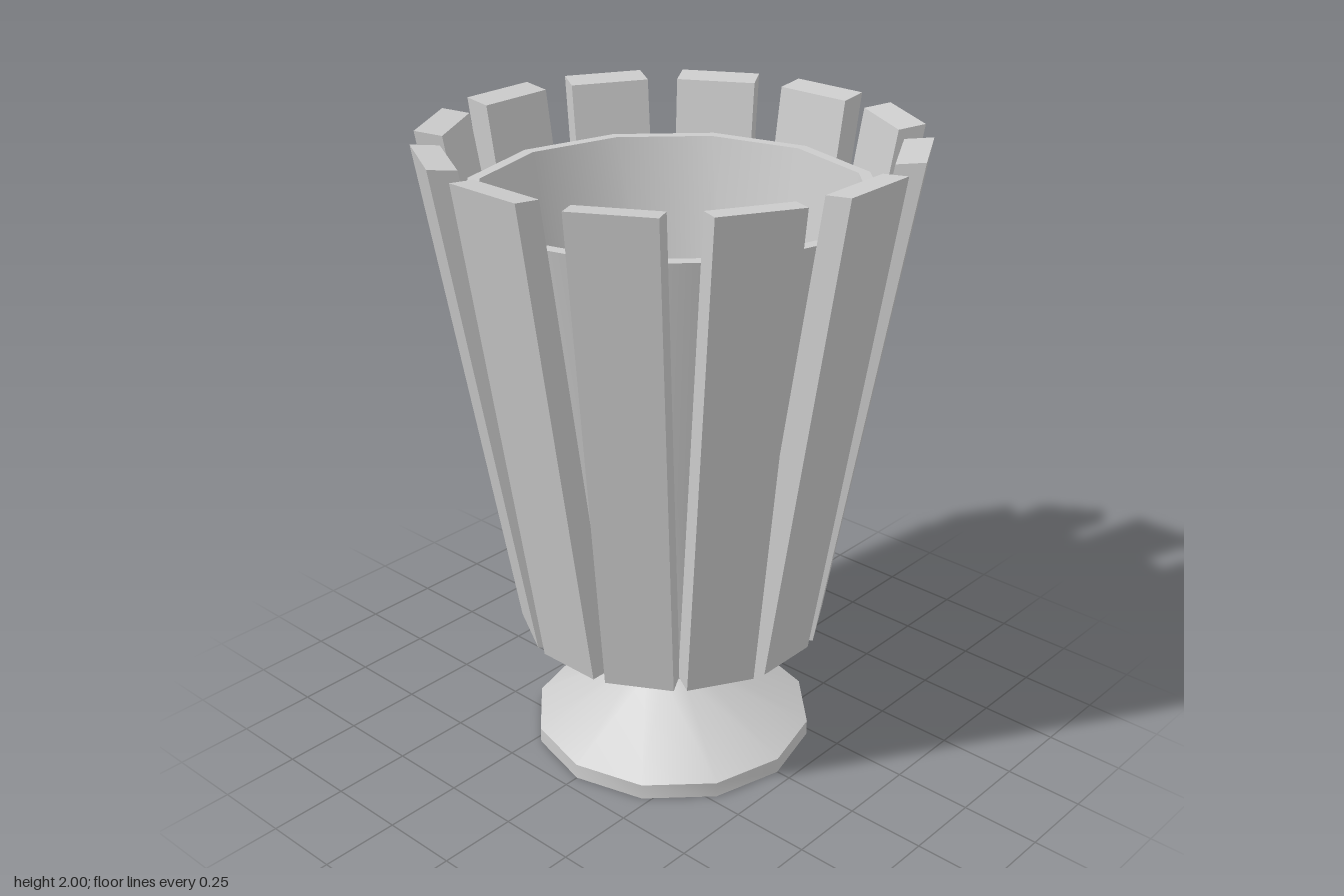
import * as THREE from 'three';
import { toCreasedNormals } from 'three/addons/utils/BufferGeometryUtils.js';

const SIDES = 12;
const material = new THREE.MeshStandardMaterial({ color: 0xcccccc });

// Twelve-sided turned part, smooth around and sharp along the profile
function turned(name, profile) {
  const points = profile.map(([r, y]) => new THREE.Vector2(r, y));
  const geometry = toCreasedNormals(new THREE.LatheGeometry(points, SIDES), 0.6);
  const mesh = new THREE.Mesh(geometry, material);
  mesh.name = name;
  return mesh;
}

// Box reshaped into a slat that leans outwards and widens towards the top
function slatGeometry() {
  const geometry = new THREE.BoxGeometry(1, 1, 1);
  const p = geometry.attributes.position;
  for (let i = 0; i < p.count; i++) {
    const top = p.getY(i) > 0;
    const outer = p.getZ(i) > 0;
    const halfWidth = top ? 0.125 : 0.106;
    const y = top ? (outer ? 2 : 1.99) : 0.43;
    const z = top ? (outer ? 0.732 : 0.647) : (outer ? 0.473 : 0.388);
    p.setXYZ(i, Math.sign(p.getX(i)) * halfWidth, y, z);
  }
  const flat = geometry.toNonIndexed();
  flat.computeVertexNormals();
  return flat;
}

export function createModel() {
  const model = new THREE.Group();
  model.name = 'slattedGoblet';

  // Foot and stem
  model.add(turned('footAndStem', [
    [0, 0], [0.452, 0], [0.452, 0.05], [0.125, 0.23], [0.125, 0.485], [0, 0.485],
  ]));

  // Hollow bowl with a thin rim
  model.add(turned('bowl', [
    [0, 0.48], [0.395, 0.48], [0.62, 1.83], [0.583, 1.83], [0.336, 0.52], [0, 0.52],
  ]));

  // Ring of slats around the bowl
  const slats = new THREE.Group();
  slats.name = 'slats';
  const geometry = slatGeometry();
  for (let i = 0; i < SIDES; i++) {
    const slat = new THREE.Mesh(geometry, material);
    slat.name = 'slat' + (i + 1);
    slat.rotation.y = (i / SIDES) * Math.PI * 2;
    slats.add(slat);
  }
  model.add(slats);

  return model;
}
